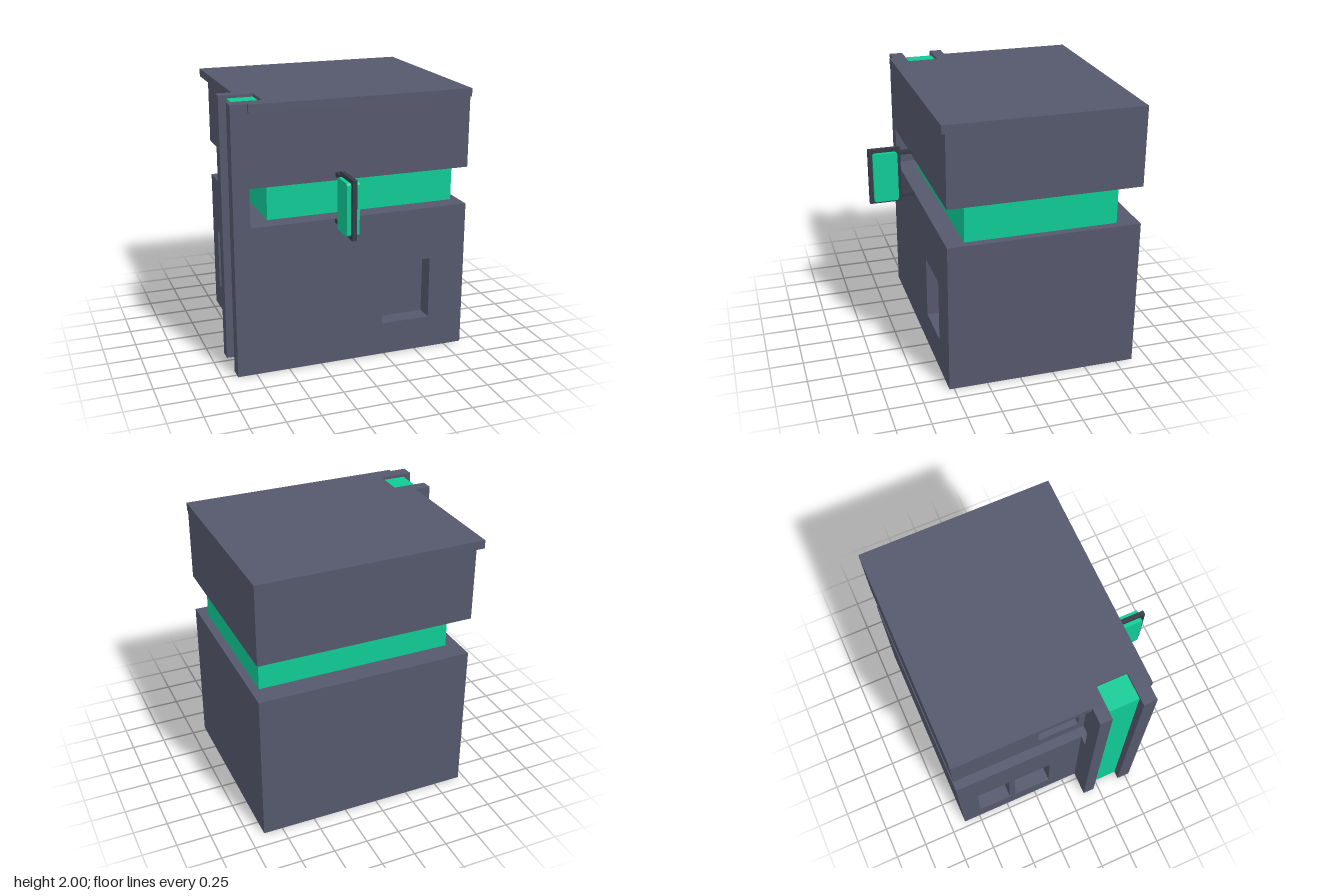
import * as THREE from 'three';

const wallMat = new THREE.MeshStandardMaterial({ name: 'slateWall', color: 0x55586c });
const greenMat = new THREE.MeshStandardMaterial({ name: 'brightGreen', color: 0x0fcb95 });
const frameMat = new THREE.MeshStandardMaterial({ name: 'darkFrame', color: 0x363b47 });

// Box given by its limits on each axis
function box(parent, name, mat, [x0, x1], [y0, y1], [z0, z1]) {
  const mesh = new THREE.Mesh(new THREE.BoxGeometry(x1 - x0, y1 - y0, z1 - z0), mat);
  mesh.position.set((x0 + x1) / 2, (y0 + y1) / 2, (z0 + z1) / 2);
  mesh.name = name;
  parent.add(mesh);
  return mesh;
}

function poly(points) {
  return points.map(([x, y]) => new THREE.Vector2(x, y));
}

function rect([a0, a1], [b0, b1]) {
  return poly([[a0, b0], [a1, b0], [a1, b1], [a0, b1]]);
}

function extrude(shape, depth) {
  return new THREE.ExtrudeGeometry(shape, { depth, bevelEnabled: false });
}

// Wall panel with rectangular openings
function panel(parent, name, width, height, openings, depth, side) {
  const shape = new THREE.Shape(rect(width, height));
  for (const [w, h] of openings) shape.holes.push(new THREE.Path(rect(w, h).reverse()));
  const mesh = new THREE.Mesh(extrude(shape, depth), wallMat);
  if (side) {
    mesh.rotation.y = -Math.PI / 2; // shape x runs along z, depth runs towards -x
    mesh.position.x = -0.58;
  } else {
    mesh.position.z = 0.405;
  }
  mesh.name = name;
  parent.add(mesh);
}

// One storey: solid core, recess-pierced side wall and front wall
function storey(name, height, sideOpenings, frontOpenings) {
  const g = new THREE.Group();
  g.name = name;
  box(g, name + 'Core', wallMat, [-0.58, 0.89], height, [-0.88, 0.405]);
  panel(g, name + 'SideWall', [-0.88, 0.405], height, sideOpenings, 0.126, true);
  panel(g, name + 'FrontWall', [-0.706, 0.89], height, frontOpenings, 0.13, false);
  box(g, name + 'PilasterRoot', wallMat, [-0.77, -0.706], height, [0.12, 0.535]);
  return g;
}

export function createModel() {
  const model = new THREE.Group();
  model.name = 'building';

  // Storeys with window recesses
  const sideWindows = [[[-0.73, -0.47], [0.2, 0.685]], [[-0.42, -0.125], [0.2, 0.685]]];
  model.add(storey('lowerStorey', [0, 1.125], sideWindows, [[[0.23, 0.61], [0.25, 0.725]]]));
  model.add(storey('upperStorey', [1.41, 1.94], [[[-0.23, 0.07], [1.53, 1.88]]], []));
  for (const [z, y] of sideWindows) box(model, 'windowGlass', greenMat, [-0.585, -0.579], y, z);

  // Recessed glowing band between the storeys
  box(model, 'greenBand', greenMat, [-0.61, 0.83], [1.125, 1.41], [-0.72, 0.4]);

  // Roof slab with a notch over the pilaster
  const roofShape = new THREE.Shape(poly([
    [-0.77, -0.56], [0.89, -0.56], [0.89, 0.88], [-0.77, 0.88],
    [-0.77, -0.21], [-0.64, -0.21], [-0.64, -0.435], [-0.77, -0.435],
  ]));
  const roof = new THREE.Mesh(extrude(roofShape, 0.06), wallMat);
  roof.rotation.x = -Math.PI / 2;
  roof.position.y = 1.94;
  roof.name = 'roofSlab';
  model.add(roof);

  // Channel pilaster with a green strip that bends into the roof
  const pilaster = new THREE.Group();
  pilaster.name = 'pilaster';
  for (const z of [[0.12, 0.21], [0.435, 0.535]]) {
    box(pilaster, 'pilasterLeg', wallMat, [-0.89, -0.77], [0, 2], z);
  }
  box(pilaster, 'pilasterBack', wallMat, [-0.8, -0.77], [0, 1.94], [0.21, 0.435]);
  box(pilaster, 'greenStrip', greenMat, [-0.83, -0.8], [0, 1.94], [0.21, 0.435]);
  box(pilaster, 'greenStripCap', greenMat, [-0.83, -0.64], [1.94, 1.978], [0.21, 0.435]);
  model.add(pilaster);

  // Hanging sign on two brackets
  const sign = new THREE.Group();
  sign.name = 'sign';
  box(sign, 'signFrame', frameMat, [-0.145, -0.112], [1.07, 1.5], [0.632, 0.875]);
  for (const y of [[1.095, 1.125], [1.44, 1.47]]) {
    box(sign, 'signBracket', frameMat, [-0.145, -0.112], y, [0.53, 0.64]);
  }
  const [z0, z1, y0, y1, c] = [0.66, 0.845, 1.092, 1.472, 0.012];
  const signShape = new THREE.Shape(poly([
    [z0 + c, y0], [z1 - c, y0], [z1, y0 + c], [z1, y1 - c],
    [z1 - c, y1], [z0 + c, y1], [z0, y1 - c], [z0, y0 + c],
  ]));
  const signPanel = new THREE.Mesh(extrude(signShape, 0.094), greenMat);
  signPanel.rotation.y = -Math.PI / 2;
  signPanel.position.x = -0.081;
  signPanel.name = 'signPanel';
  sign.add(signPanel);
  model.add(sign);

  return model;
}
